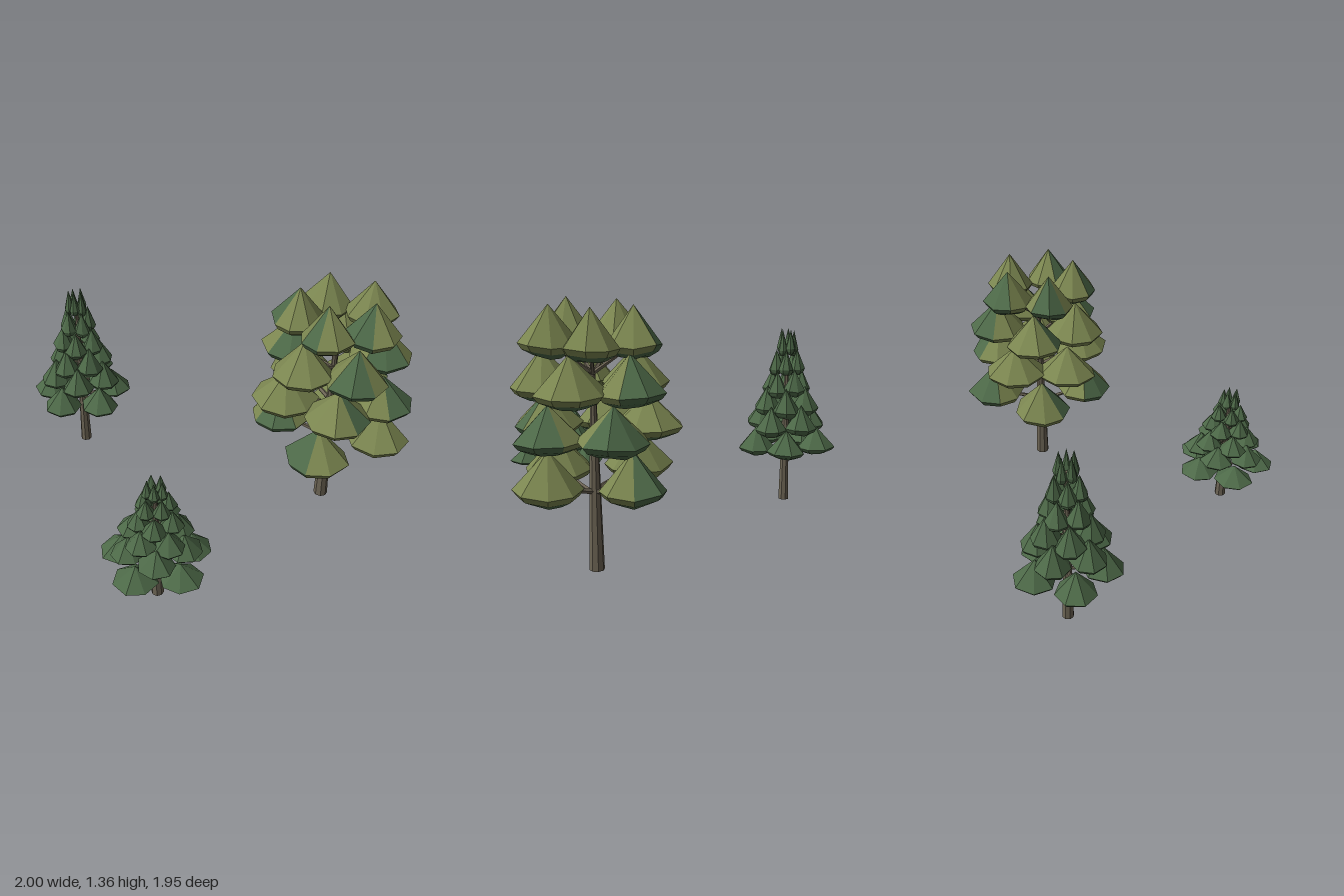
import * as THREE from 'three';

const mat = (name, color) => {
  const m = new THREE.MeshStandardMaterial({ color, flatShading: true });
  m.name = name;
  return m;
};
const bark = mat('bark brown', 0x6c6454);
const green = mat('pine green', 0x4d6948);
const olive = mat('olive leaf', 0x7b8650);

// Small seeded random generator
function seeded(seed) {
  let s = seed;
  return () => (s = (s * 16807) % 2147483647) / 2147483647;
}

// Tapered limb between two points
function limb(name, from, to, r0, r1, sides) {
  const dir = to.clone().sub(from);
  const geo = new THREE.CylinderGeometry(r1, r0, dir.length(), sides);
  const mesh = new THREE.Mesh(geo, bark);
  mesh.name = name;
  mesh.position.copy(from).addScaledVector(dir, 0.5);
  mesh.quaternion.setFromUnitVectors(new THREE.Vector3(0, 1, 0), dir.normalize());
  return mesh;
}

// Leaf clump: pointed cone above, narrow rim, then a shallow green bowl below.
// Origin is at the widest ring; isOlive(angle) picks the colour of each upper face.
function clump(r, up, down, sides, rnd, isOlive) {
  const phase = rnd() * Math.PI * 2;
  const angle = (i) => phase + (i / sides) * Math.PI * 2;
  const wobble = Array.from({ length: sides }, () => rnd() - 0.5);
  const ring = (radius, y) => wobble.map((w, i) => {
    const k = radius * (1 + w * 0.14);
    return [Math.cos(angle(i)) * k, y + w * down * 0.3, Math.sin(angle(i)) * k];
  });
  const tip = [0, up, 0], base = [0, -down, 0];
  const wide = ring(r, 0), rim = ring(r * 0.86, -down * 0.45), low = ring(r * 0.52, -down * 0.85);
  const parts = [[], []];
  for (let i = 0; i < sides; i++) {
    const j = (i + 1) % sides;
    parts[isOlive(angle(i + 0.5)) ? 1 : 0].push(tip, wide[j], wide[i],
      wide[i], wide[j], rim[j], wide[i], rim[j], rim[i]);
    parts[0].push(rim[i], rim[j], low[j], rim[i], low[j], low[i], low[i], low[j], base);
  }
  const geo = new THREE.BufferGeometry();
  geo.setAttribute('position', new THREE.Float32BufferAttribute(parts.flat(2), 3));
  geo.addGroup(0, parts[0].length, 0);
  geo.addGroup(parts[0].length, parts[1].length, 1);
  geo.computeVertexNormals();
  const mesh = new THREE.Mesh(geo, [green, olive]);
  mesh.name = 'leafClump';
  return mesh;
}

// Tree from tiers: { n, start (degrees, from +x towards +z), R, r, y (widest), up, down,
// sectors: green [centre, width] in degrees for each clump, all green if left out }
function tree(name, seed, trunk, tiers, sides, rise) {
  const rnd = seeded(seed);
  const group = new THREE.Group();
  group.name = name;
  const V = (x, y, z) => new THREE.Vector3(x, y, z);
  const rad = THREE.MathUtils.degToRad;
  group.add(limb('trunk', V(0, 0, 0), V(0, trunk.height, 0), trunk.r0, trunk.r1, 8));
  for (const t of tiers) {
    const tier = new THREE.Group();
    tier.name = 'foliageTier';
    for (let i = 0; i < t.n; i++) {
      const a = rad(t.start + (i * 360) / t.n + (rnd() - 0.5) * 4);
      const x = Math.cos(a) * t.R, z = Math.sin(a) * t.R;
      const y = t.y + (rnd() - 0.5) * t.down * 0.4;
      const isOlive = (s) => {
        if (!t.sectors) return false;
        const [mid, width] = t.sectors[i];
        return Math.cos(s - rad(mid)) < Math.cos(rad(width / 2));
      };
      const c = clump(t.r, t.up, t.down, sides, rnd, isOlive);
      c.position.set(x, y, z);
      tier.add(c);
      // Branch rising from the trunk into the clump
      const root = Math.min(y - t.R * rise, trunk.height - 0.02);
      tier.add(limb('branch', V(0, root, 0), V(x, y, z), t.r * 0.085, t.r * 0.045, 5));
    }
    group.add(tier);
  }
  return group;
}

// Slender pine with six shrinking tiers between two heights
function pine(name, seed, bottom, top) {
  const H = top - bottom;
  const levels = [ // [bottom, tip, ring radius, clump radius]
    [0, 0.23, 0.187, 0.113], [0.165, 0.41, 0.148, 0.096], [0.3, 0.54, 0.117, 0.082],
    [0.46, 0.68, 0.088, 0.063], [0.63, 0.84, 0.065, 0.046], [0.79, 0.995, 0.039, 0.029],
  ];
  const tiers = levels.map(([b, t, R, r], i) => ({
    n: 5, start: i * 38, R, r,
    y: bottom + H * (b + (t - b) * 0.25),
    up: H * (t - b) * 0.75, down: H * (t - b) * 0.25,
  }));
  return tree(name, seed, { height: bottom + H * 0.85, r0: 0.033, r1: 0.009 }, tiers, 7, 0.12);
}

export function createModel() {
  const model = new THREE.Group();
  model.name = 'treeGroup';

  const broad = tree('broadTree', 77, { height: 1.03, r0: 0.04, r1: 0.012 }, [
    { n: 4, start: 60, R: 0.28, r: 0.172, y: 0.485, up: 0.19, down: 0.075,
      sectors: [[110, 60], [50, 80], [210, 100], [0, 0]] },
    { n: 5, start: 42, R: 0.268, r: 0.176, y: 0.73, up: 0.17, down: 0.07,
      sectors: [[-10, 50], [0, 0], [0, 0], [258, 160], [330, 160]] },
    { n: 5, start: 18, R: 0.245, r: 0.17, y: 0.95, up: 0.185, down: 0.07,
      sectors: [[60, 110], [0, 0], [70, 80], [234, 100], [30, 80]] },
    { n: 5, start: -8, R: 0.21, r: 0.142, y: 1.17, up: 0.185, down: 0.07,
      sectors: [[70, 90], [90, 80], [170, 80], [200, 100], [0, 0]] },
  ], 8, 0.28);
  broad.position.set(0.585, 0, -0.54);

  const tallPine = pine('tallPine', 1234, 0.31, 1.07);
  tallPine.position.set(-0.735, 0, 0.25);

  const shortPine = pine('shortPine', 4321, 0.22, 0.76);
  shortPine.position.set(0.61, 0, 0.69);

  model.add(broad, tallPine, shortPine);
  return model;
}
